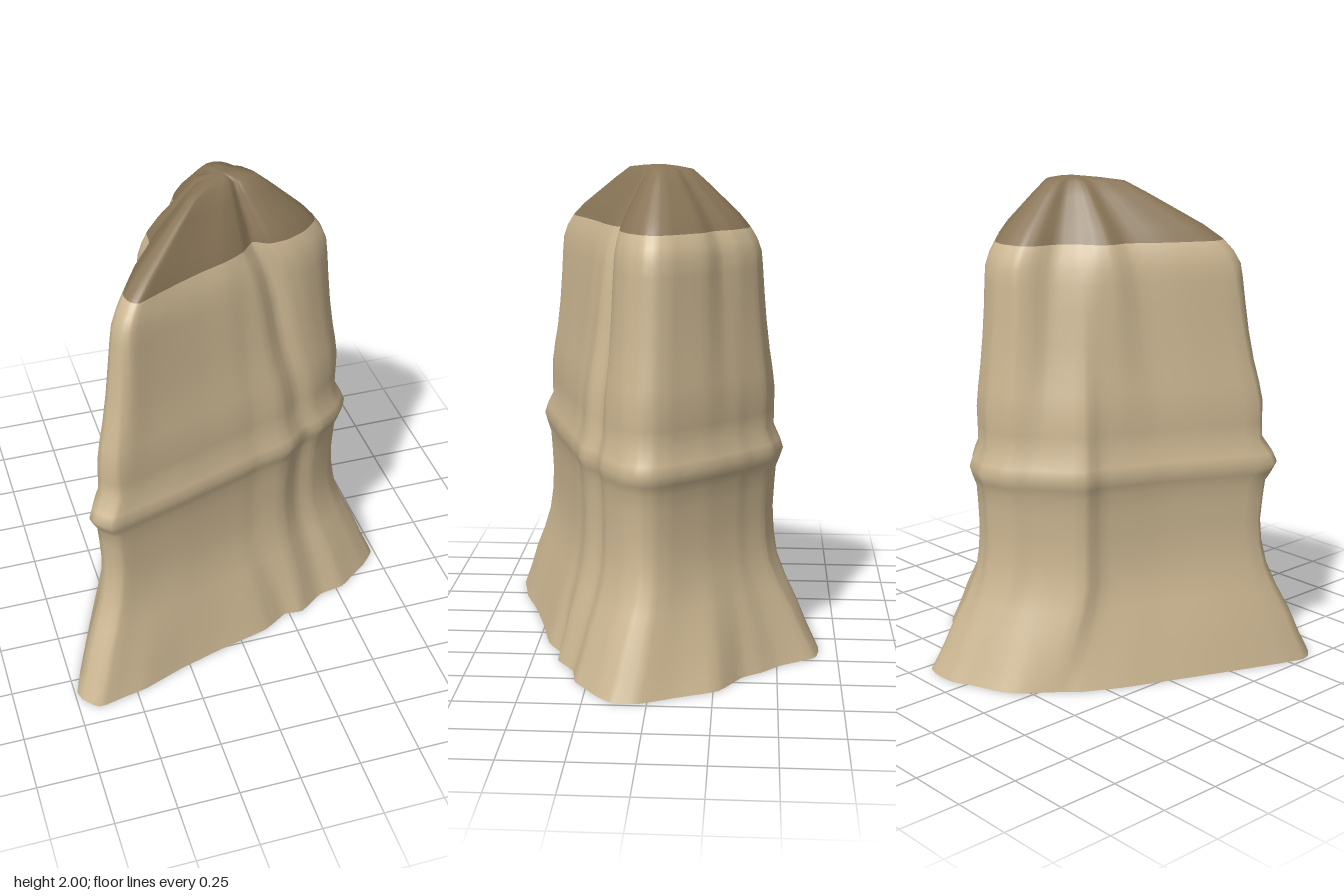
import * as THREE from 'three';

// Matching outlines (x, z) at the foot, the ledge and the edge of the cap
const FOOT = [-.74, .57, -.67, .67, -.56, .65, -.46, .63, -.30, .57, -.10, .51, .12, .455, .23, .39,
  .31, .395, .42, .32, .53, .30, .60, .25, .67, .20, .735, .13, .735, .04, .71, -.02,
  .66, -.12, .59, -.27, .45, -.36, .39, -.44, .31, -.52, .22, -.655, .14, -.675, .06, -.67,
  -.02, -.63, -.15, -.58, -.21, -.53, -.30, -.41, -.36, -.34, -.44, -.19, -.51, -.02, -.60, .20];
const LEDGE = [-.625, .47, -.56, .55, -.48, .53, -.40, .505, -.25, .46, -.10, .41, .04, .365, .12, .335,
  .26, .30, .35, .225, .43, .20, .49, .16, .55, .11, .59, .04, .585, -.02, .55, -.08,
  .51, -.13, .43, -.23, .35, -.31, .30, -.36, .25, -.40, .17, -.475, .11, -.495, .05, -.515,
  -.07, -.485, -.13, -.43, -.18, -.39, -.31, -.28, -.32, -.19, -.37, -.07, -.43, .07, -.52, .25];
const RIM = [-.42, .31, -.41, .37, -.38, .39, -.30, .35, -.20, .30, -.10, .255, -.01, .22, .05, .19,
  .09, .165, .14, .11, .20, .14, .28, .13, .36, .09, .42, .03, .43, -.02, .41, -.07,
  .38, -.11, .32, -.19, .25, -.23, .22, -.27, .20, -.30, .14, -.35, .10, -.365, .05, -.37,
  -.03, -.35, -.06, -.30, -.08, -.22, -.14, -.15, -.19, -.12, -.23, -.07, -.24, .01, -.33, .14];

// Body rows: height, blend (0 foot, 1 ledge, 2 rim), scale
const BODY = [[0, 0, 1], [.1, .3, 1], [.2, .56, 1], [.3, .82, .985], [.4, 1, .965], [.5, 1, .935], [.6, 1, .925],
  [.7, 1, .935], [.77, 1, .945], [.81, 1, .975], [.85, 1, 1], [.89, 1, .975], [.95, 1.03, .93],
  [1.02, 1.1, .95], [1.1, 1.2, .98], [1.18, 1.3, .99], [1.26, 1.42, 1], [1.38, 1.55, 1.01], [1.5, 1.65, 1.02],
  [1.6, 1.78, 1.05], [1.66, 1.87, 1.07], [1.71, 1.94, 1.05], [1.755, 2, 1]];
// Cap rows: height, scale towards the summit
const CAP = [[1.81, .87], [1.87, .69], [1.93, .51], [1.98, .35], [1.992, .18], [2, 0.002]];
const SIDES = 96, SUMMIT = new THREE.Vector3(.06, 0, -.02);

function outline(flat) {
  const pts = [];
  for (let i = 0; i < flat.length; i += 2) pts.push(new THREE.Vector3(flat[i], 0, flat[i + 1]));
  const curve = new THREE.CatmullRomCurve3(pts, true, 'catmullrom', 0.25);
  return Array.from({ length: SIDES }, (_, i) => curve.getPoint(i / SIDES));
}

export function createModel() {
  const stone = new THREE.MeshStandardMaterial({ color: 0xcbb691, side: THREE.DoubleSide });
  stone.name = 'sandstone';
  const dark = new THREE.MeshStandardMaterial({ color: 0x8a7658, side: THREE.DoubleSide });
  dark.name = 'dark cap stone';

  const shapes = [FOOT, LEDGE, RIM].map(outline);
  const rows = [];
  for (const [y, blend, scale] of BODY) {
    const k = Math.min(1, Math.floor(blend));
    rows.push(shapes[k].map((p, i) =>
      p.clone().lerp(shapes[k + 1][i], blend - k).multiplyScalar(scale).setY(y)));
  }
  for (const [y, s] of CAP) rows.push(shapes[2].map(p => SUMMIT.clone().lerp(p, s).setY(y)));

  // Skin the rows; the foot stays open
  const position = rows.flat().flatMap(p => [p.x, p.y, p.z]);
  const index = [];
  for (let j = 0; j < rows.length - 1; j++) {
    for (let i = 0; i < SIDES; i++) {
      const n = (i + 1) % SIDES;
      const a = j * SIDES + i, b = j * SIDES + n, c = b + SIDES, d = a + SIDES;
      index.push(a, b, c, a, c, d);
    }
  }
  const geo = new THREE.BufferGeometry();
  geo.setAttribute('position', new THREE.Float32BufferAttribute(position, 3));
  geo.setIndex(index);
  geo.computeVertexNormals();

  // Pale body below the rim, dark cap above it
  const bodyCount = (BODY.length - 1) * SIDES * 6;
  geo.addGroup(0, bodyCount, 0);
  geo.addGroup(bodyCount, index.length - bodyCount, 1);

  const rock = new THREE.Mesh(geo, [stone, dark]);
  rock.name = 'rockPillar';
  const group = new THREE.Group();
  group.name = 'rockFormation';
  group.add(rock);
  return group;
}
